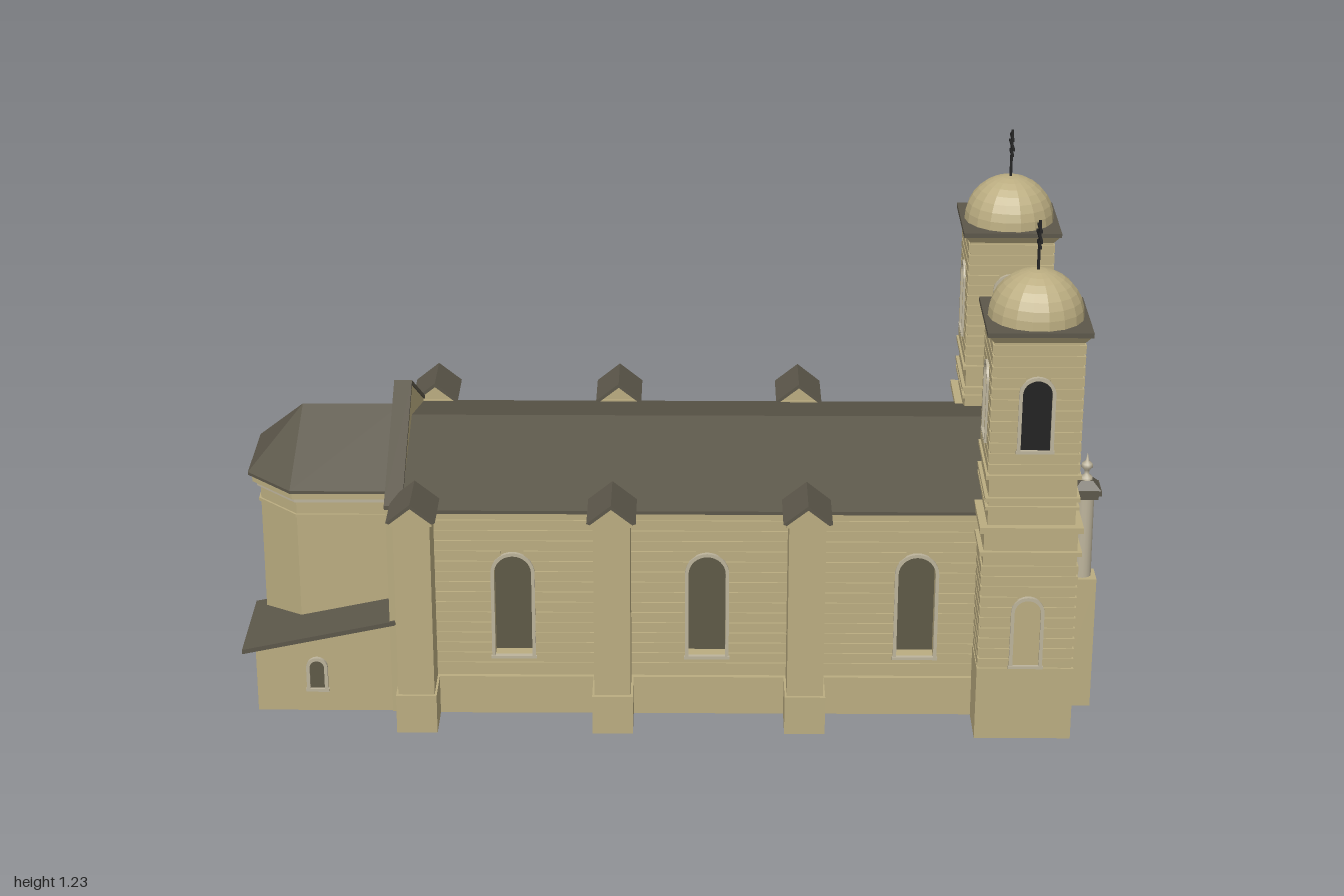
import * as THREE from 'three';
import { mergeGeometries } from 'three/addons/utils/BufferGeometryUtils.js';
import { ConvexGeometry } from 'three/addons/geometries/ConvexGeometry.js';

const material = (name, color) => {
  const m = new THREE.MeshStandardMaterial({ color });
  m.name = name;
  return m;
};
const wall = material('sandstone', 0xbbad81);
const trim = material('pale trim', 0xbdb49c);
const roof = material('roof slate', 0x5c574a);
const glass = material('window glass', 0x5f5a47);
const black = material('black', 0x222222);

const V = (x, y, z) => new THREE.Vector3(x, y, z);
const flat = (g) => { const f = g.toNonIndexed(); f.computeVertexNormals(); return f; };

function add(parent, name, geo, mat, x = 0, y = 0, z = 0) {
  const m = new THREE.Mesh(geo, mat);
  m.name = name;
  m.position.set(x, y, z);
  parent.add(m);
  return m;
}
// y is the bottom of the box
const box = (parent, name, mat, w, h, d, x, y, z) =>
  add(parent, name, new THREE.BoxGeometry(w, h, d), mat, x, y + h / 2, z);

function group(parent, name, angle = 0, x = 0, y = 0, z = 0) {
  const g = new THREE.Group();
  g.name = name;
  g.rotation.y = angle;
  g.position.set(x, y, z);
  parent.add(g);
  return g;
}
const extrude = (shape, depth) => new THREE.ExtrudeGeometry(shape, { depth, bevelEnabled: false });
const poly = (pts) => new THREE.Shape(pts.map(([x, y]) => new THREE.Vector2(x, y)));

// arch outline from right foot over the top to left foot
function archPts(w, h, rise = w / 2, ox = 0, oy = 0) {
  const a = w / 2, R = (a * a + rise * rise) / (2 * rise), s = Math.asin((R - rise) / R);
  const pts = [new THREE.Vector2(ox + a, oy)];
  for (let i = 0; i <= 16; i++) {
    const t = s + (Math.PI - 2 * s) * i / 16;
    pts.push(new THREE.Vector2(ox + R * Math.cos(t), oy + h - R + R * Math.sin(t)));
  }
  pts.push(new THREE.Vector2(ox - a, oy));
  return pts;
}
const archRing = (w, h, t, rise = w / 2) =>
  new THREE.Shape([...archPts(w + 2 * t, h + t, rise + t), ...archPts(w, h, rise).reverse()]);

// arched pane with a raised surround, facing local +z
function archWindow(parent, o, pane, z, recess = 0) {
  add(parent, 'windowPane', new THREE.ShapeGeometry(new THREE.Shape(archPts(o.w, o.h))), pane, o.x, o.y, z + 0.002 - recess);
  add(parent, 'windowSurround', extrude(archRing(o.w, o.h, 0.008), 0.009), trim, o.x, o.y, z);
  box(parent, 'windowSill', trim, o.w + 0.02, 0.007, 0.012, o.x, o.y - 0.007, z + 0.004);
}

// horizontal stone courses, interrupted at arched openings
function courses(parent, x0, x1, y0, y1, z, openings = []) {
  const pitch = 0.026, parts = [];
  for (let y = y0; y + 0.02 <= y1; y += pitch) {
    let from = x0;
    const put = (to) => {
      if (to - from > 0.004) parts.push(new THREE.BoxGeometry(to - from, 0.02, 0.008).translate((from + to) / 2, y + 0.01, z));
    };
    for (const o of [...openings].sort((a, b) => a.x - b.x)) {
      if (y + 0.02 < o.y || y > o.y + o.h) continue;
      const a = o.w / 2, up = Math.max(0, y - (o.y + o.h - a));
      const half = Math.sqrt(Math.max(0, a * a - up * up));
      put(o.x - half);
      from = o.x + half;
    }
    put(x1);
  }
  add(parent, 'stoneCourses', mergeGeometries(parts), wall);
}

function tower(parent, s) {
  const t = group(parent, 'tower', 0, 0.815, 0, s * 0.335);
  const slab = (name, half, y, h, mat = wall) => box(t, name, mat, half * 2, h, half * 2, 0, y, 0);
  slab('towerBase', 0.111, 0, 0.18);
  slab('lowerShaft', 0.106, 0.18, 0.35);
  slab('upperShaft', 0.099, 0.53, 0.46);
  for (const [half, y, h] of [[0.116, 0.465, 0.01], [0.117, 0.522, 0.014], [0.106, 0.575, 0.008], [0.107, 0.595, 0.01], [0.107, 0.65, 0.01]])
    slab('stringCourse', half, y, h);
  for (let i = 0; i < 4; i++) {
    const f = group(t, 'towerFace', i * Math.PI / 2);
    const bell = { x: 0, y: 0.72, w: 0.066, h: 0.168 }, low = { x: 0, y: 0.188, w: 0.06, h: 0.165 };
    const outer = i === (s > 0 ? 0 : 2), front = i === 1;
    archWindow(f, bell, black, 0.099);
    if (outer || front) archWindow(f, low, front ? black : wall, 0.106);
    courses(f, -0.103, 0.103, 0.665, 0.985, 0.099, [bell]);
    courses(f, -0.11, 0.11, 0.184, 0.46, 0.106, outer || front ? [low] : []);
  }
  // flared cornice and dome
  const r2 = Math.SQRT2;
  add(t, 'flaredCornice', flat(new THREE.CylinderGeometry(0.113 * r2, 0.1 * r2, 0.018, 4).rotateY(Math.PI / 4)), wall, 0, 0.985, 0);
  slab('roofPlate', 0.117, 0.994, 0.011, roof);
  add(t, 'dome', flat(new THREE.SphereGeometry(0.108, 18, 8, 0, Math.PI * 2, 0, Math.PI / 2)), wall, 0, 1.005, 0);
  box(t, 'crossPost', black, 0.006, 0.12, 0.006, 0, 1.107, 0);
  for (const [y, w] of [[1.168, 0.055], [1.187, 0.085], [1.206, 0.055]]) box(t, 'crossBar', black, 0.006, 0.006, w, 0, y, 0);
}

function naveSide(parent, s) {
  const g = group(parent, 'naveSide', s > 0 ? 0 : Math.PI);
  const holes = [-0.365, 0.085, 0.57].map((x) => ({ x: s * x, y: 0.148, w: 0.086, h: 0.255 }));
  const [x0, x1] = [-0.64 * s, 0.75 * s].sort((a, b) => a - b);
  const panel = poly([[x0, 0], [x1, 0], [x1, 0.52], [x0, 0.52]]);
  for (const o of holes) panel.holes.push(new THREE.Path(archPts(o.w, o.h, o.w / 2, o.x, o.y)));
  add(g, 'sideWall', extrude(panel, 0.035), wall, 0, 0, 0.283);
  for (const o of holes) archWindow(g, o, glass, 0.318, 0.033);
  courses(g, x0, x1, 0.108, 0.5, 0.318, holes);
  box(g, 'plinth', wall, x1 - x0, 0.095, 0.014, (x0 + x1) / 2, 0, 0.322);
  box(g, 'eavesMoulding', wall, x1 - x0, 0.012, 0.02, (x0 + x1) / 2, 0.503, 0.32);
  // buttresses with little gabled caps
  for (const bx of [-0.587, -0.133, 0.312]) {
    const b = group(g, 'buttress', 0, s * bx);
    box(b, 'buttressBase', wall, 0.094, 0.095, 0.12, 0, 0, 0.371);
    box(b, 'buttressShaft', wall, 0.084, 0.44, 0.11, 0, 0.095, 0.367);
    box(b, 'buttressMoulding', wall, 0.096, 0.012, 0.118, 0, 0.523, 0.37);
    add(b, 'capGable', extrude(poly([[-0.048, 0.535], [0.048, 0.535], [0, 0.572]]), 0.115), wall, 0, 0, 0.315);
    add(b, 'capRoof', extrude(poly([[-0.056, 0.537], [-0.048, 0.534], [0, 0.572], [0.048, 0.534], [0.056, 0.537], [0, 0.582]]), 0.14), roof, 0, 0, 0.3);
  }
}

function facade(parent) {
  const f = group(parent, 'facade', Math.PI / 2); // local +z points to the front
  const gable = [[0.25, 0], [0.25, 0.565], [0.03, 0.685], [0.018, 0.703], [0, 0.708], [-0.018, 0.703], [-0.03, 0.685], [-0.25, 0.565], [-0.25, 0]];
  const opening = archPts(0.326, 0.475, 0.095).reverse().map((p) => [p.x, p.y]);
  add(f, 'gableWall', extrude(poly([...gable, ...opening]), 0.05), wall, 0, 0, 0.828);
  add(f, 'portalArch', extrude(archRing(0.326, 0.475, 0.012, 0.095), 0.008), roof, 0, 0, 0.876);
  for (const s of [-1, 1]) {
    box(f, 'portalJamb', trim, 0.012, 0.385, 0.006, s * 0.169, 0, 0.883);
    add(f, 'rakingMoulding', extrude(poly([[s * 0.25, 0.54], [s * 0.25, 0.562], [s * 0.02, 0.687], [s * 0.02, 0.665]]), 0.008), wall, 0, 0, 0.876);
    // porch pilasters and gable trim
    box(f, 'porchPilaster', trim, 0.026, 0.355, 0.04, s * 0.122, 0, 0.85);
    box(f, 'pilasterTip', trim, 0.014, 0.02, 0.026, s * 0.122, 0.355, 0.85);
    add(f, 'porchRake', extrude(poly([[s * 0.112, 0.285], [s * 0.112, 0.312], [0, 0.383], [0, 0.356]]), 0.04), trim, 0, 0, 0.83);
    // free-standing column on a pedestal
    const c = group(f, 'column', 0, s * 0.253, 0, 0.958);
    box(c, 'pedestal', wall, 0.06, 0.33, 0.08, 0, 0, -0.008);
    add(c, 'shaft', new THREE.CylinderGeometry(0.02, 0.022, 0.21, 16), trim, 0, 0.435, 0);
    box(c, 'capital', roof, 0.054, 0.012, 0.054, 0, 0.53, 0);
    box(c, 'capitalPlate', roof, 0.066, 0.012, 0.066, 0, 0.542, 0);
    add(c, 'capitalRoof', flat(new THREE.CylinderGeometry(0.02, 0.044, 0.018, 4).rotateY(Math.PI / 4)), roof, 0, 0.563, 0);
    const profile = [[0.014, 0.57], [0.014, 0.578], [0.005, 0.585], [0.006, 0.595], [0.014, 0.603], [0.012, 0.611], [0.004, 0.618], [0, 0.638]];
    add(c, 'finial', new THREE.LatheGeometry(profile.map(([x, y]) => new THREE.Vector2(x, y)), 12), trim);
  }
  add(f, 'porch', extrude(poly([[-0.112, 0], [0.112, 0], [0.112, 0.29], [0, 0.36], [-0.112, 0.29]]), 0.03), wall, 0, 0, 0.828);
  box(f, 'porchPeak', trim, 0.032, 0.05, 0.044, 0, 0.362, 0.85);
  add(f, 'door', extrude(new THREE.Shape(archPts(0.108, 0.172)), 0.004), black, 0, 0, 0.857);
  add(f, 'roundelPane', new THREE.CircleGeometry(0.014, 20), glass, 0, 0.245, 0.861);
  add(f, 'roundelRing', new THREE.TorusGeometry(0.014, 0.003, 8, 20), trim, 0, 0.245, 0.861);
  box(f, 'doorStep', black, 0.21, 0.008, 0.06, 0, 0, 0.88);
}

function apse(parent) {
  const a = group(parent, 'apse');
  const plan = (e) => [[-0.64, -0.2 - e], [-0.875 - e * 0.4, -0.2 - e], [-0.97 - e, -0.105 - e * 0.4], [-0.97 - e, 0.105 + e * 0.4], [-0.875 - e * 0.4, 0.2 + e], [-0.64, 0.2 + e]];
  const prism = (name, e, y, h, mat) => add(a, name, extrude(poly(plan(e)), h).rotateX(-Math.PI / 2), mat, 0, y, 0);
  prism('apseWall', 0, 0, 0.5, wall);
  prism('apsePlinth', 0.006, 0, 0.095, wall);
  prism('apseBand', 0.005, 0.445, 0.008, wall);
  prism('apseFrieze', 0.008, 0.485, 0.012, trim);
  prism('apseCornice', 0.018, 0.497, 0.02, wall);
  const eaves = plan(0.027).flatMap(([x, z]) => [V(x, 0.515, z), V(x, 0.522, z)]);
  add(a, 'apseRoof', new ConvexGeometry([...eaves, V(-0.64, 0.65, 0), V(-0.875, 0.65, 0)]), roof);
  // windows on the side and the slanted faces
  const win = { x: 0, y: 0.15, w: 0.07, h: 0.26 };
  archWindow(group(a, 'sideWindow', Math.PI, -0.77, 0, -0.2), win, glass, 0);
  archWindow(group(a, 'slantedWindow', -Math.PI * 0.75, -0.9225, 0, -0.1525), win, glass, 0);
  const round = group(a, 'roundWindow', -Math.PI / 2, -0.971, 0.342, 0);
  add(round, 'roundPane', new THREE.CircleGeometry(0.034, 24), glass, 0, 0, 0.002);
  add(round, 'roundFrame', new THREE.TorusGeometry(0.036, 0.007, 8, 24), trim);
  // lean-to in the corner, sloping down to the rear
  const l = group(a, 'leanTo');
  add(l, 'leanToWall', extrude(poly([[-0.97, 0], [-0.64, 0], [-0.64, 0.228], [-0.97, 0.158]]), 0.25), wall, 0, 0, 0.07);
  add(l, 'leanToRoof', extrude(poly([[-1, 0.153], [-0.64, 0.229], [-0.64, 0.24], [-1, 0.164]]), 0.265), roof, 0, 0, 0.07);
  archWindow(l, { x: -0.828, y: 0.06, w: 0.034, h: 0.072 }, glass, 0.32);
}

export function createModel() {
  const church = new THREE.Group();
  church.name = 'church';
  // nave body, roof and rear parapet
  box(church, 'naveCore', wall, 1.475, 0.515, 0.57, 0.0925, 0, 0);
  const section = poly([[-0.337, 0.515], [0.337, 0.515], [0.337, 0.523], [0, 0.622], [-0.337, 0.523]]);
  add(church, 'naveRoof', extrude(section, 1.47).rotateY(Math.PI / 2), roof, -0.64, 0, 0);
  const parapet = poly([[-0.325, 0], [0.325, 0], [0.335, 0.525], [0, 0.7], [-0.335, 0.525]]);
  add(church, 'rearParapet', extrude(parapet, 0.036).rotateY(Math.PI / 2), wall, -0.653, 0, 0);
  const coping = poly([[-0.337, 0.524], [0, 0.7], [0.337, 0.524], [0.337, 0.534], [0, 0.71], [-0.337, 0.534]]);
  add(church, 'parapetCoping', extrude(coping, 0.042).rotateY(Math.PI / 2), roof, -0.656, 0, 0);
  const frontCoping = poly([[-0.25, 0.566], [-0.03, 0.686], [0.03, 0.686], [0.25, 0.566], [0.25, 0.572], [0.03, 0.692], [-0.03, 0.692], [-0.25, 0.572]]);
  add(church, 'gableCoping', extrude(frontCoping, 0.05).rotateY(Math.PI / 2), roof, 0.827, 0, 0);
  for (const s of [-1, 1]) {
    naveSide(church, s);
    tower(church, s);
  }
  facade(church);
  apse(church);
  return church;
}
